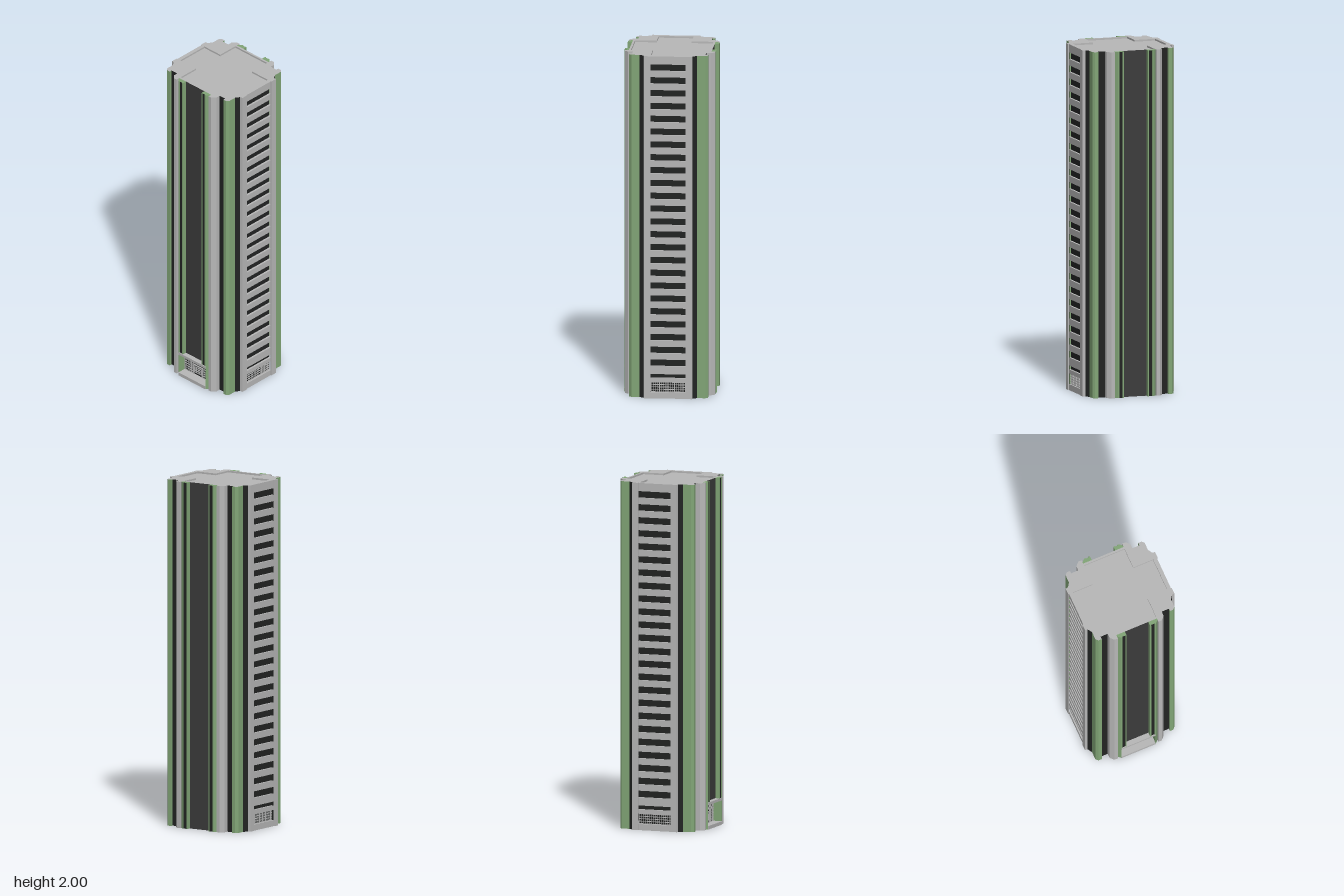
import * as THREE from 'three';

const mat = (name, color) => {
  const m = new THREE.MeshStandardMaterial({ color, side: THREE.DoubleSide });
  m.name = name;
  return m;
};

export function createModel() {
  const grey = mat('concrete grey', 0xb8b8b8);
  const green = mat('panel green', 0x82a677);
  const black = mat('black glass', 0x222423);
  const charcoal = mat('charcoal glass', 0x3c3c3c);
  const H = 2, SIGNS = [1, -1];
  const tower = new THREE.Group();
  tower.name = 'tower';

  const add = (name, geo, material, parent = tower) => {
    const m = new THREE.Mesh(geo, material);
    m.name = name;
    parent.add(m);
    return m;
  };
  const box = (name, x0, x1, y0, y1, z0, z1, material, parent) =>
    add(name, new THREE.BoxGeometry(x1 - x0, y1 - y0, z1 - z0), material, parent)
      .position.set((x0 + x1) / 2, (y0 + y1) / 2, (z0 + z1) / 2);

  // Vertical wall following a plan path of [x, z] points
  const wall = (name, path, y0, y1, material) => {
    const pos = [];
    for (let i = 0; i + 1 < path.length; i++) {
      const [ax, az] = path[i], [bx, bz] = path[i + 1];
      pos.push(ax, y0, az, bx, y0, bz, bx, y1, bz, ax, y0, az, bx, y1, bz, ax, y1, az);
    }
    const g = new THREE.BufferGeometry();
    g.setAttribute('position', new THREE.Float32BufferAttribute(pos, 3));
    g.computeVertexNormals();
    add(name, g, material);
  };
  const planShape = pts => new THREE.Shape(pts.map(([x, z]) => new THREE.Vector2(x, -z)));
  const prism = (name, pts, y0, y1, material) => {
    const g = new THREE.ExtrudeGeometry(planShape(pts), { depth: y1 - y0, bevelEnabled: false });
    add(name, g.rotateX(-Math.PI / 2).translate(0, y0, 0), material);
  };
  const mirror = (pts, sx, sz) => pts.map(([x, z]) => [x * sx, z * sz]);
  // Repeat a quarter plan path around all four corners as one closed outline
  const around = q => {
    const r = [...q].reverse();
    return [...q, ...mirror(r, -1, 1), ...mirror(q, -1, -1), ...mirror(r, 1, -1)];
  };

  // Corner facades: coloured strips of the quarter outline, from side to front
  const strips = [
    ['sidePier', grey, [[0.273, 0.1], [0.278, 0.1], [0.278, 0.137], [0.262, 0.14]]],
    ['cornerGlass', black, [[0.262, 0.14], [0.246, 0.164]]],
    ['cornerColumn', green, [[0.246, 0.164], [0.246, 0.212], [0.233, 0.2255], [0.212, 0.2255], [0.212, 0.21]]],
    ['notchGlass', black, [[0.212, 0.21], [0.168, 0.21]]],
    ['frontPier', grey, [[0.168, 0.21], [0.168, 0.237], [0.147, 0.2585], [0.126, 0.2585], [0.126, 0.2365]]],
  ];
  // Green pillars with a recessed glass strip
  const pillar = [[0.073, 0.2365], [0.073, 0.2625], [0.08, 0.2625], [0.08, 0.259], [0.1, 0.259],
    [0.1, 0.2625], [0.108, 0.2625], [0.126, 0.245], [0.126, 0.2365]];
  const pillarFoot = [[0.105, 0.2365], [0.105, 0.2625], [0.108, 0.2625], [0.126, 0.245], [0.126, 0.2365]];
  for (const sx of SIGNS) for (const sz of SIGNS) {
    for (const [name, material, pts] of strips) {
      const path = mirror(pts, sx, sz);
      wall(name, sx * sz > 0 ? path.reverse() : path, 0, H, material);
    }
    const base = sz > 0 ? 0.155 : 0;
    prism('pillar', mirror(pillar, sx, sz), base, H, green);
    if (sz > 0) prism('pillarFoot', mirror(pillarFoot, sx, sz), 0, base, green);
    const strip = [[0.08, 0.2588], [0.08, 0.2596], [0.1, 0.2596], [0.1, 0.2588]];
    prism('pillarGlass', mirror(strip, sx, sz), base, H - 0.002, black);
  }

  // Front and back curtain walls
  wall('frontGlass', [[-0.126, 0.2365], [0.126, 0.2365]], 0.155, H, charcoal);
  wall('backGlass', [[0.126, -0.2365], [-0.126, -0.2365]], 0, H, charcoal);

  // Roof with a sunken cross
  const quarter = strips.flatMap(s => s[2].slice(0, -1)).concat([[0.126, 0.2365]]);
  const cross = around([[0.25, 0.1], [0.126, 0.1], [0.126, 0.2245]]);
  const rim = planShape(around(quarter));
  rim.holes.push(planShape(cross));
  add('roofRim', new THREE.ShapeGeometry(rim).rotateX(-Math.PI / 2).translate(0, H, 0), grey);
  add('roofDeck', new THREE.ShapeGeometry(planShape(cross)).rotateX(-Math.PI / 2).translate(0, H - 0.01, 0), grey);
  wall('roofRimInside', [...cross, cross[0]], H - 0.01, H, grey);

  // Light glazing bars on the plane z = 0 of a parent group
  const grid = (parent, x0, x1, y0, y1, nx, ny) => {
    const t = 0.0018;
    for (let i = 0; i <= nx; i++) {
      const x = x0 + (x1 - x0) * i / nx;
      box('glazingBar', x - t, x + t, y0, y1, 0, 0.003, grey, parent);
    }
    for (let j = 0; j <= ny; j++) {
      const y = y0 + (y1 - y0) * j / ny;
      box('glazingRail', x0, x1, y - t, y + t, 0, 0.003, grey, parent);
    }
  };

  // Side facades: glass sheet behind grey spandrels
  const openings = [[0.035, 0.095], [0.12, 0.142]];
  for (let k = 23; k >= 0; k--) openings.push([1.914 - 0.075 * k, 1.952 - 0.075 * k]);
  for (const s of SIGNS) {
    const side = new THREE.Group();
    side.name = s > 0 ? 'leftFacade' : 'rightFacade';
    side.position.x = s * 0.261;
    side.rotation.y = s * Math.PI / 2;
    tower.add(side);
    add('sideGlass', new THREE.PlaneGeometry(0.2, H - 0.02), black, side).position.y = H / 2;
    let y = 0;
    for (const [y0, y1] of [...openings, [H - 0.001, H]]) {
      box('spandrel', -0.1, 0.1, y, y0, 0, 0.012, grey, side);
      y = y1;
    }
    grid(side, -0.098, 0.098, 0.037, 0.093, 16, 4);
  }

  // Front entrance: recessed lobby, canopy, step and door
  box('canopy', -0.105, 0.105, 0.14, 0.155, 0.2105, 0.2655, grey);
  box('step', -0.105, 0.105, 0, 0.02, 0.2105, 0.2655, grey);
  wall('lobbyGlass', [[-0.105, 0.2105], [0.105, 0.2105]], 0, 0.155, black);
  for (const s of SIGNS) wall('lobbySide', [[s * 0.105, 0.2105], [s * 0.105, 0.2365]], 0, 0.155, green);
  const lobby = new THREE.Group();
  lobby.name = 'lobbyFront';
  lobby.position.z = 0.211;
  tower.add(lobby);
  grid(lobby, -0.103, 0.103, 0.106, 0.14, 16, 2);
  box('lobbyBeam', -0.105, 0.105, 0.094, 0.102, 0, 0.005, grey, lobby);
  for (const s of SIGNS) {
    grid(lobby, Math.min(s * 0.103, s * 0.04), Math.max(s * 0.103, s * 0.04), 0.02, 0.094, 5, 5);
    box('doorJamb', s * 0.034 - 0.003, s * 0.034 + 0.003, 0.02, 0.086, 0, 0.006, grey, lobby);
  }
  box('doorHead', -0.037, 0.037, 0.08, 0.086, 0, 0.006, grey, lobby);
  grid(lobby, -0.024, 0.024, 0.034, 0.07, 4, 3);

  tower.position.z = -0.0015;
  const model = new THREE.Group();
  model.name = 'towerBlock';
  model.add(tower);
  return model;
}
